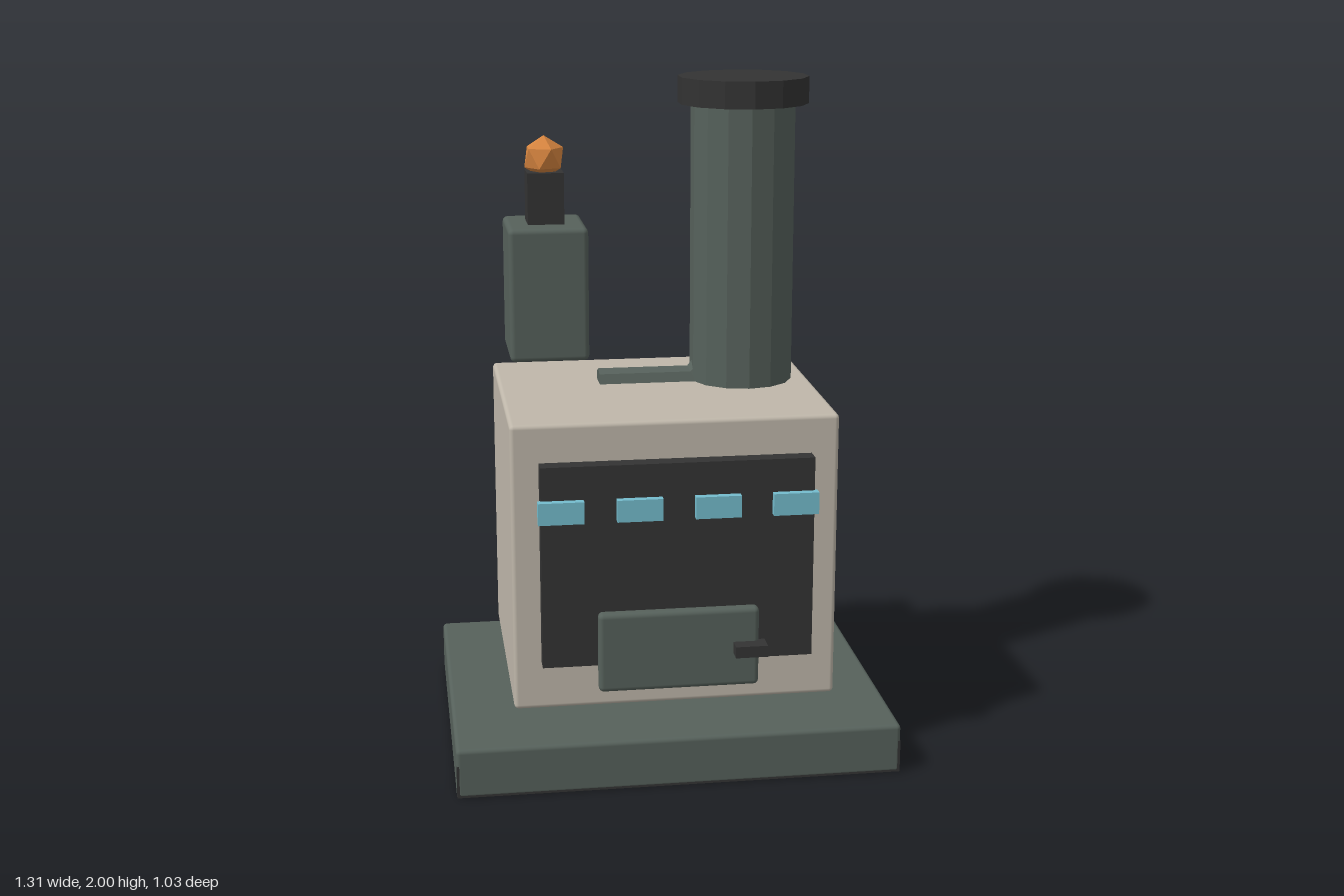
import * as THREE from 'three';
import { RoundedBoxGeometry } from 'three/addons/geometries/RoundedBoxGeometry.js';

function colour(name, hex) {
  const m = new THREE.MeshStandardMaterial({ color: hex });
  m.name = name;
  return m;
}

// Faceted copy of a geometry: one normal per face
function faceted(geometry) {
  const g = geometry.index ? geometry.toNonIndexed() : geometry;
  g.computeVertexNormals();
  return g;
}

export function createModel() {
  const root = new THREE.Group();
  root.name = 'stove';
  const green = colour('dark green metal', 0x56615b);
  const beige = colour('beige enamel', 0xbfb7aa);
  const black = colour('black iron', 0x333333);
  const blue = colour('pale blue glass', 0x74bccd);
  const orange = colour('orange glow', 0xd5843f);

  function add(name, geometry, material, x, y, z) {
    const mesh = new THREE.Mesh(geometry, material);
    mesh.name = name;
    mesh.position.set(x, y, z);
    root.add(mesh);
    return mesh;
  }

  // Boxes are given by their [min, max] extents; a radius rounds the edges
  function box(name, material, [x0, x1], [y0, y1], [z0, z1], radius = 0) {
    const size = [x1 - x0, y1 - y0, z1 - z0];
    const g = radius ? new RoundedBoxGeometry(...size, 2, radius) : new THREE.BoxGeometry(...size);
    return add(name, g, material, (x0 + x1) / 2, (y0 + y1) / 2, (z0 + z1) / 2);
  }

  // Straight faceted pipe between two points
  function pipe(name, material, a, b, radius, sides) {
    const from = new THREE.Vector3(...a);
    const dir = new THREE.Vector3(...b).sub(from);
    const g = faceted(new THREE.CylinderGeometry(radius, radius, dir.length(), sides));
    const mid = from.clone().addScaledVector(dir, 0.5);
    const mesh = add(name, g, material, mid.x, mid.y, mid.z);
    mesh.quaternion.setFromUnitVectors(new THREE.Vector3(0, 1, 0), dir.normalize());
  }

  // Base slab, with a black skid plate showing at its rounded edges
  box('base', green, [-0.656, 0.656], [0, 0.15], [-0.516, 0.516], 0.013);
  box('skidPlate', black, [-0.655, 0.655], [0.002, 0.1], [-0.515, 0.515]);

  // Body and front panel
  box('body', beige, [-0.477, 0.477], [0.213, 1.075], [-0.391, 0.391], 0.013);
  box('frontPanel', black, [-0.396, 0.396], [0.36, 0.963], [0.38, 0.441]);

  // Row of four windows
  for (let i = 0; i < 4; i++) {
    const x = -0.339 + i * 0.226;
    box('window', blue, [x - 0.066, x + 0.066], [0.8, 0.865], [0.436, 0.464]);
  }

  // Door and latch
  box('door', green, [-0.236, 0.234], [0.286, 0.526], [0.432, 0.473], 0.015);
  box('doorHandle', black, [0.157, 0.251], [0.39, 0.424], [0.46, 0.517]);

  // Vent slats on the left side
  for (let i = 0; i < 3; i++) {
    const y = 0.625 + i * 0.113;
    box('ventSlat', green, [0.46, 0.505], [y - 0.023, y + 0.023], [-0.31, 0.217]);
  }

  // Chimney and cap
  pipe('chimney', green, [0.272, 1.06, -0.095], [0.272, 1.94, -0.095], 0.157, 14);
  pipe('chimneyCap', black, [0.272, 1.92, -0.095], [0.272, 2, -0.095], 0.197, 14);

  // Feed pipe lying on the top, bending up into the chimney
  pipe('feedPipe', green, [-0.17, 1.074, -0.095], [0.14, 1.074, -0.095], 0.042, 8);
  pipe('feedPipeElbow', green, [0.125, 1.072, -0.095], [0.21, 1.18, -0.095], 0.042, 8);

  // Floating tank with burner and flame
  box('tank', green, [-0.442, -0.202], [1.155, 1.561], [-0.309, -0.033], 0.016);
  box('burner', black, [-0.377, -0.267], [1.55, 1.716], [-0.226, -0.114]);
  const flame = add('flame', faceted(new THREE.IcosahedronGeometry(0.066, 0)), orange, -0.322, 1.757, -0.171);
  flame.rotation.z = -Math.atan(2 / (1 + Math.sqrt(5)));

  return root;
}
